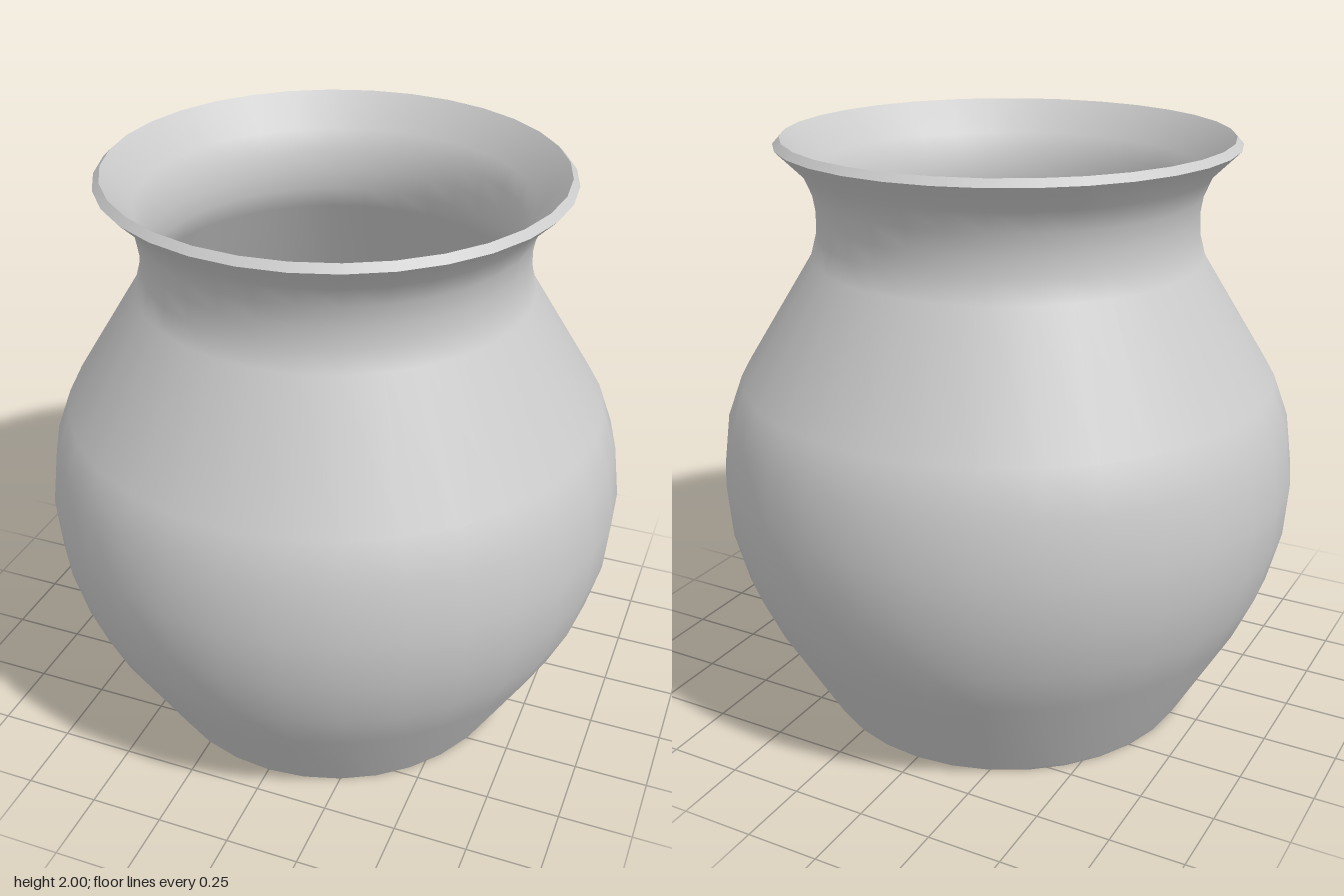
import * as THREE from 'three';

const SIDES = 32;

export function createModel() {
  const group = new THREE.Group();
  group.name = 'pot';
  const material = new THREE.MeshStandardMaterial({ color: 0xcccccc });

  // Each surface is its own lathe, so the edges between them stay sharp.
  const turn = (name, profile) => {
    const points = profile.map(([r, y]) => new THREE.Vector2(r, y));
    const mesh = new THREE.Mesh(new THREE.LatheGeometry(points, SIDES), material);
    mesh.name = name;
    group.add(mesh);
  };

  // Outer profile, from foot to lip
  const outer = [
    [0.652, 0], [0.66, 0.012], [0.86, 0.365], [0.927, 0.515], [0.972, 0.69],
    [0.985, 0.87], [0.96, 1.055], [0.907, 1.197], [0.655, 1.605],
    [0.635, 1.68], [0.632, 1.75], [0.643, 1.82], [0.672, 1.89], [0.76, 1.977],
  ];

  // Inner profile: the outer one moved inwards by the wall thickness
  const wall = 0.03;
  const inner = outer.slice(2, -1).map(([r, y]) => [r - wall, y]).reverse();
  const lip = [0.738, 2];
  const floorEdge = [0.64, 0.025];

  turn('outerWall', outer);
  turn('rim', [outer[outer.length - 1], lip]);
  turn('innerWall', [lip, ...inner, floorEdge]);
  turn('floor', [floorEdge, [0, 0.025]]);
  turn('base', [[0, 0], outer[0]]);

  return group;
}
